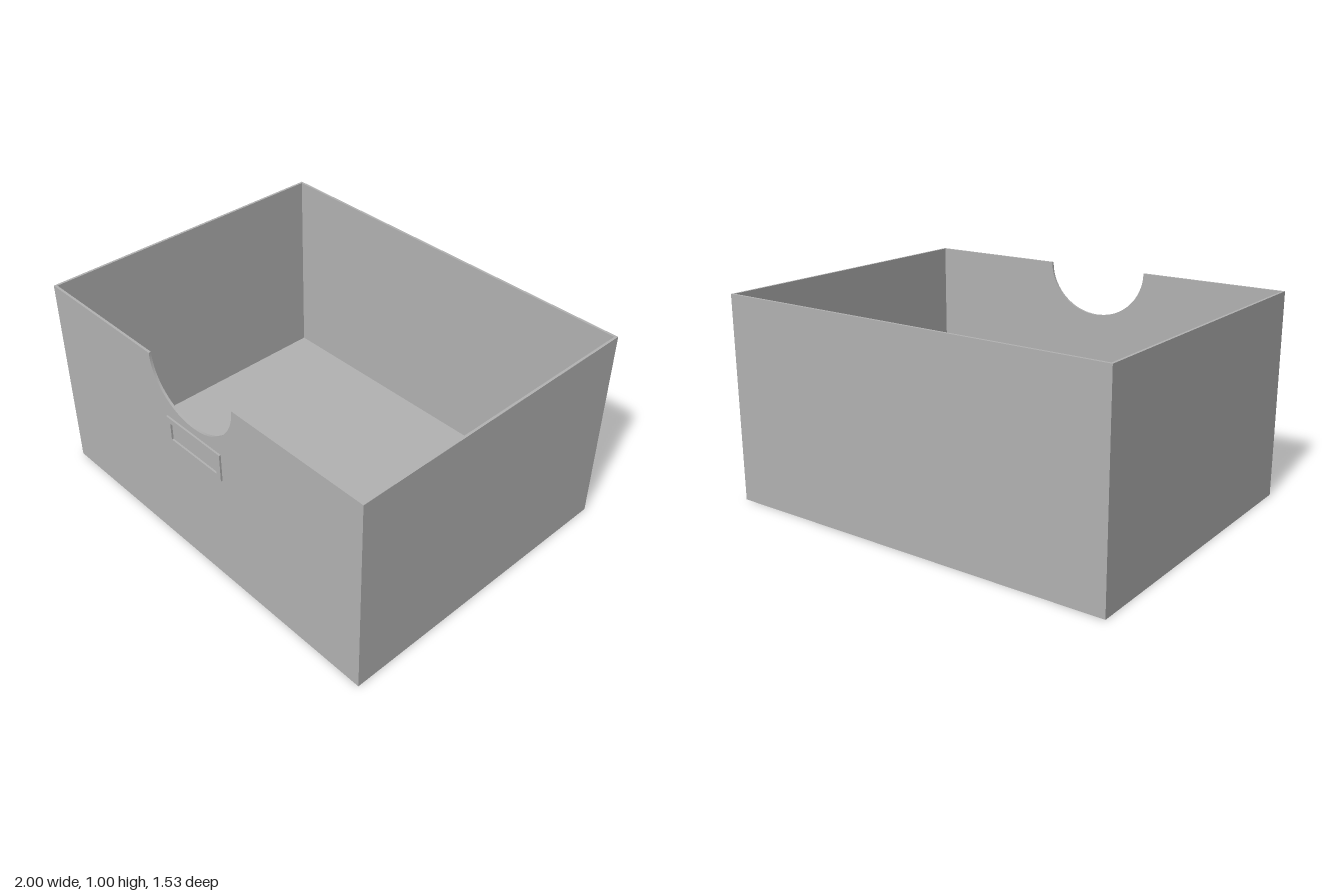
import * as THREE from 'three';

const WALL = 0.012, BACK = -0.767, FRONT = 0.758, HEIGHT = 1;

export function createModel() {
  const group = new THREE.Group();
  group.name = 'storageBin';
  const grey = new THREE.MeshStandardMaterial({ color: 0xb2b2b2 });
  grey.name = 'plain grey';

  const add = (name, geometry, x, y, z) => {
    const mesh = new THREE.Mesh(geometry, grey);
    mesh.name = name;
    mesh.position.set(x, y, z);
    group.add(mesh);
  };
  const extrude = (shape, depth) =>
    new THREE.ExtrudeGeometry(shape, { depth, bevelEnabled: false, curveSegments: 48 });

  const depth = FRONT - BACK, midZ = (FRONT + BACK) / 2;
  const innerDepth = depth - 2 * WALL;

  // Floor and back wall
  add('floor', new THREE.BoxGeometry(2 - 2 * WALL, WALL, innerDepth), 0, WALL / 2, midZ);
  add('backWall', new THREE.BoxGeometry(2, HEIGHT, WALL), 0, HEIGHT / 2, BACK + WALL / 2);

  // Side walls
  for (const [name, side] of [['leftWall', 1], ['rightWall', -1]]) {
    add(name, new THREE.BoxGeometry(WALL, HEIGHT, innerDepth), side * (1 - WALL / 2), HEIGHT / 2, midZ);
  }

  // Front wall with a rounded hand cutout in the top edge
  const front = new THREE.Shape();
  front.moveTo(-1, 0);
  front.lineTo(1, 0);
  front.lineTo(1, HEIGHT);
  front.lineTo(0.27, HEIGHT);
  front.absellipse(0, HEIGHT, 0.27, 0.243, 0, Math.PI, true);
  front.lineTo(-1, HEIGHT);
  front.closePath();
  add('frontWall', extrude(front, WALL), 0, 0, FRONT - WALL);

  // Raised label holder frame
  const rectangle = (path, w, h) => path.setFromPoints([
    new THREE.Vector2(-w, -h), new THREE.Vector2(w, -h),
    new THREE.Vector2(w, h), new THREE.Vector2(-w, h),
  ]);
  const frame = rectangle(new THREE.Shape(), 0.18, 0.07);
  frame.holes.push(rectangle(new THREE.Path(), 0.153, 0.044));
  add('labelFrame', extrude(frame, 0.009), 0, 0.652, FRONT);

  return group;
}
